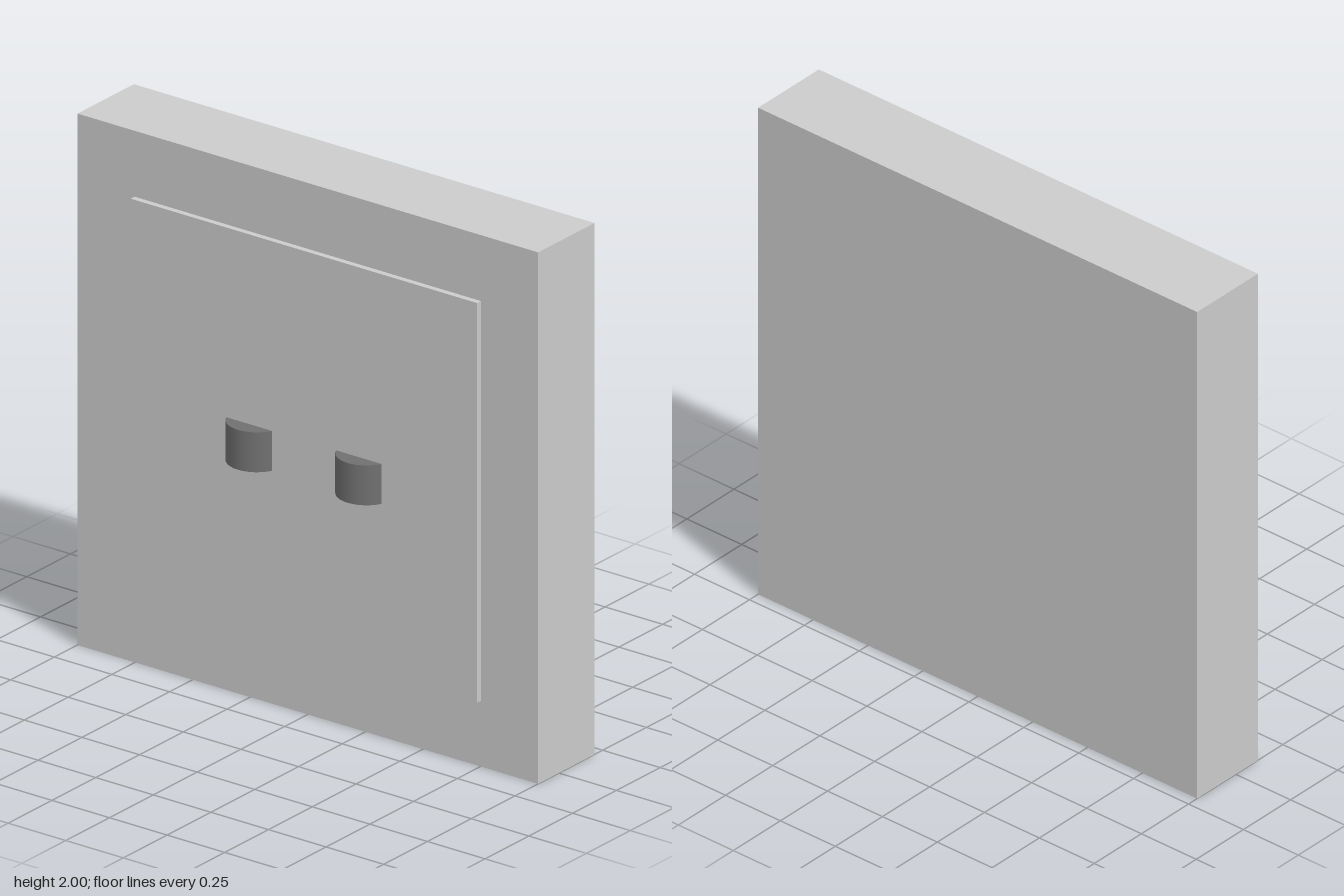
import * as THREE from 'three';

export function createModel() {
  const group = new THREE.Group();
  const grey = new THREE.MeshStandardMaterial({ color: 0xcccccc });
  const dark = new THREE.MeshStandardMaterial({ color: 0x707070 });

  const add = (name, geometry, material, x, y, z) => {
    const mesh = new THREE.Mesh(geometry, material);
    mesh.name = name;
    mesh.position.set(x, y, z);
    group.add(mesh);
  };

  // Square slab
  add('body', new THREE.BoxGeometry(2, 2, 0.322), grey, 0, 1, -0.043);

  // Thin raised plate, slightly sunk into the slab
  add('frontPlate', new THREE.BoxGeometry(1.504, 1.504, 0.05), grey, 0, 1, 0.115);

  // Two upright round knobs, half buried in the plate
  const radius = 0.109;
  for (const side of [-1, 1]) {
    add(side > 0 ? 'leftKnob' : 'rightKnob',
      new THREE.CylinderGeometry(radius, radius, 0.15, 32), dark,
      side * 0.238, 0.963, 0.204 - radius);
  }
  return group;
}
